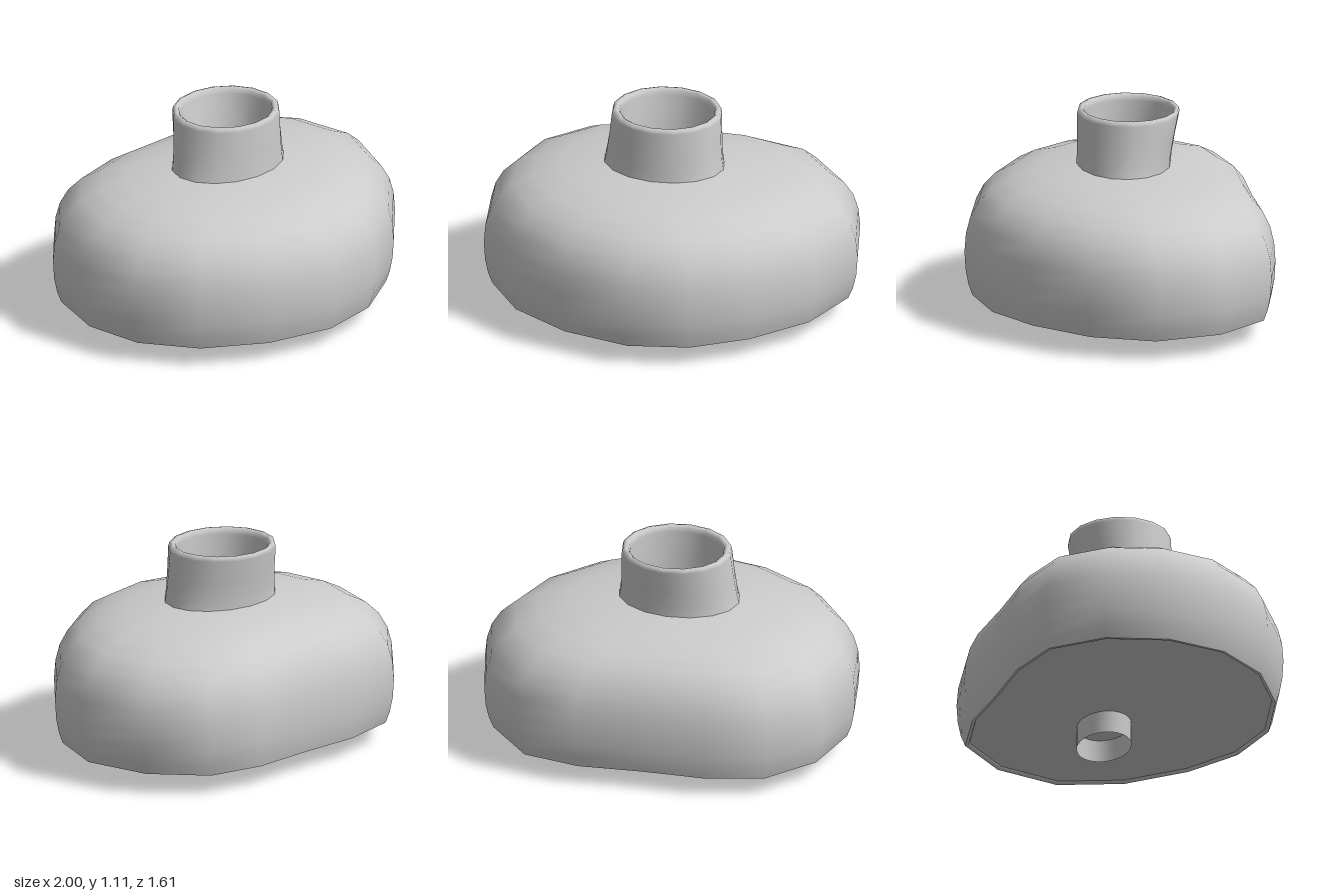
import * as THREE from 'three';

const material = new THREE.MeshStandardMaterial({ color: 0xcccccc, side: THREE.DoubleSide });

// Irregular plan outline of the body (x, z), counter-clockwise seen from above
const OUTLINE = [
  [1, -0.13], [0.9, -0.5], [0.65, -0.76], [0.33, -0.81], [-0.02, -0.775], [-0.38, -0.76],
  [-0.7, -0.67], [-0.92, -0.41], [-1, -0.065], [-0.93, 0.27], [-0.71, 0.545], [-0.37, 0.73],
  [0.01, 0.8], [0.345, 0.72], [0.63, 0.52], [0.88, 0.225],
];
const SIDES = OUTLINE.length;

// Horizontal elliptical cross-section
function ellipse(cx, cz, rx, rz, y, n = SIDES) {
  return Array.from({ length: n }, (_, i) => {
    const a = (i / n) * Math.PI * 2;
    return [cx + rx * Math.cos(a), y, cz - rz * Math.sin(a)];
  });
}

// Body cross-section: k = 0 is the neck base, k = 1 the full outline
const neckBase = ellipse(-0.035, -0.043, 0.325, 0.248, 0.8);
function bodySection(k, y) {
  return OUTLINE.map(([x, z], i) => [
    THREE.MathUtils.lerp(neckBase[i][0], x, k), y, THREE.MathUtils.lerp(neckBase[i][2], z, k),
  ]);
}

// Smooth skin over a list of closed cross-sections
function loft(name, loops) {
  const n = loops[0].length, index = [];
  for (let i = 0; i < loops.length - 1; i++) {
    for (let j = 0; j < n; j++) {
      const a = i * n + j, b = i * n + ((j + 1) % n);
      index.push(a, b, b + n, a, b + n, a + n);
    }
  }
  const g = new THREE.BufferGeometry();
  g.setAttribute('position', new THREE.Float32BufferAttribute(loops.flat(2), 3));
  g.setIndex(index);
  g.computeVertexNormals();
  const mesh = new THREE.Mesh(g, material);
  mesh.name = name;
  return mesh;
}

// Flat, downward-facing cap closing a cross-section
function cap(name, loop) {
  const shape = new THREE.Shape(loop.map(([x, , z]) => new THREE.Vector2(x, z)));
  const g = new THREE.ShapeGeometry(shape);
  g.rotateX(Math.PI / 2);
  g.translate(0, loop[0][1], 0);
  const mesh = new THREE.Mesh(g, material);
  mesh.name = name;
  return mesh;
}

export function createModel() {
  const group = new THREE.Group();
  group.name = 'vessel';

  // Bulging body shell, from the bottom edge up to the neck
  const profile = [
    [0.93, 0.11], [0.965, 0.17], [0.99, 0.25], [1, 0.35], [0.987, 0.45], [0.95, 0.535],
    [0.88, 0.613], [0.77, 0.68], [0.6, 0.735], [0.38, 0.773], [0.15, 0.793], [0, 0.803],
  ];
  group.add(loft('body', profile.map(([k, y]) => bodySection(k, y))));

  // Narrow lip and slightly recessed floor
  group.add(loft('bottomLip', [bodySection(0.895, 0.122), bodySection(0.905, 0.11), bodySection(0.93, 0.11)]));
  group.add(cap('floor', bodySection(0.895, 0.122)));

  // Leaning neck with a rounded rim and an open inside
  group.add(loft('neck', [
    neckBase,
    ellipse(-0.034, -0.046, 0.314, 0.25, 0.86),
    ellipse(-0.031, -0.055, 0.303, 0.258, 0.96),
    ellipse(-0.028, -0.067, 0.294, 0.27, 1.08),
    ellipse(-0.028, -0.068, 0.288, 0.266, 1.1),
    ellipse(-0.028, -0.07, 0.27, 0.25, 1.105),
    ellipse(-0.027, -0.071, 0.255, 0.238, 1.095),
    ellipse(-0.027, -0.068, 0.25, 0.234, 1.07),
    ellipse(-0.027, -0.045, 0.255, 0.21, 0.8),
  ]));

  // Short open tube under the floor, closed at its inner end
  const tube = (y) => ellipse(0.2, -0.085, 0.19, 0.14, y, 32);
  group.add(loft('outletTube', [tube(0), tube(0.135)]));
  group.add(cap('outletCap', tube(0.135)));

  return group;
}
